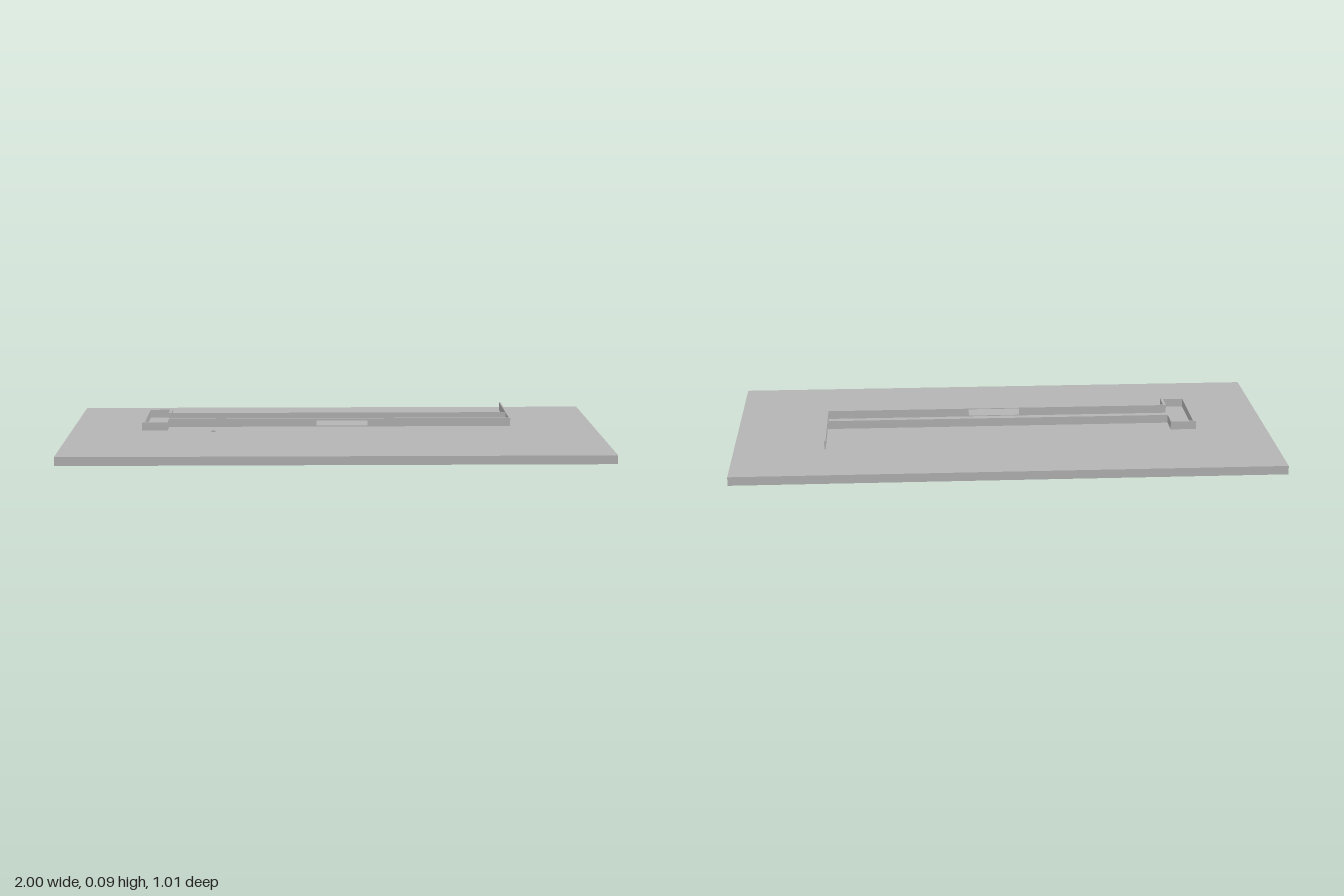
import * as THREE from 'three';

export function createModel() {
  const group = new THREE.Group();
  const grey = new THREE.MeshStandardMaterial({ color: 0xb4b4b4 });
  grey.name = 'plainGrey';

  const add = (name, geometry) => {
    const mesh = new THREE.Mesh(geometry, grey);
    mesh.name = name;
    group.add(mesh);
    return mesh;
  };
  // Box given by its limits on each axis
  const block = (name, x0, x1, y0, y1, z0, z1) =>
    add(name, new THREE.BoxGeometry(x1 - x0, y1 - y0, z1 - z0))
      .position.set((x0 + x1) / 2, (y0 + y1) / 2, (z0 + z1) / 2);

  // Ground slab
  block('slab', -1, 1, 0, 0.032, -0.505, 0.505);

  // Walls hover just above the slab
  const low = 0.057, high = 0.088, t = 0.01;
  const wall = (name, x0, x1, z0, z1) => block(name, x0, x1, low, high, z0, z1);

  // Small room at the left end, open towards the corridor
  wall('roomEndWall', -0.72, -0.72 + t, -0.15, 0.135);
  wall('roomBackWall', -0.71, -0.625, -0.15, -0.15 + t);
  wall('roomFrontWall', -0.71, -0.625, 0.135 - t, 0.135);
  wall('roomBackReturn', -0.625 - t, -0.625, -0.14, -0.065);
  wall('roomFrontReturn', -0.625 - t, -0.625, 0.05, 0.125);

  // Long corridor and the end wall running on past it
  wall('corridorBackWall', -0.625, 0.66, -0.07, -0.065);
  wall('endWall', 0.66, 0.665, -0.298, 0.06);

  // Corridor front wall with a long window opening
  const rect = (path, x0, x1, y0, y1) => {
    path.moveTo(x0, y0);
    path.lineTo(x1, y0);
    path.lineTo(x1, y1);
    path.lineTo(x0, y1);
    path.closePath();
    return path;
  };
  const front = rect(new THREE.Shape(), -0.625, 0.66, low, high);
  front.holes.push(rect(new THREE.Path(), -0.068, 0.125, 0.06, 0.085));
  add('corridorFrontWall', new THREE.ExtrudeGeometry(front, { depth: t, bevelEnabled: false }))
    .position.z = 0.05;

  // Tiny bracket lying on the slab
  block('bracketBar', -0.468, -0.45, 0.034, 0.037, 0.02, 0.04);
  block('bracketTip', -0.463, -0.456, 0.034, 0.042, 0.037, 0.042);

  return group;
}
